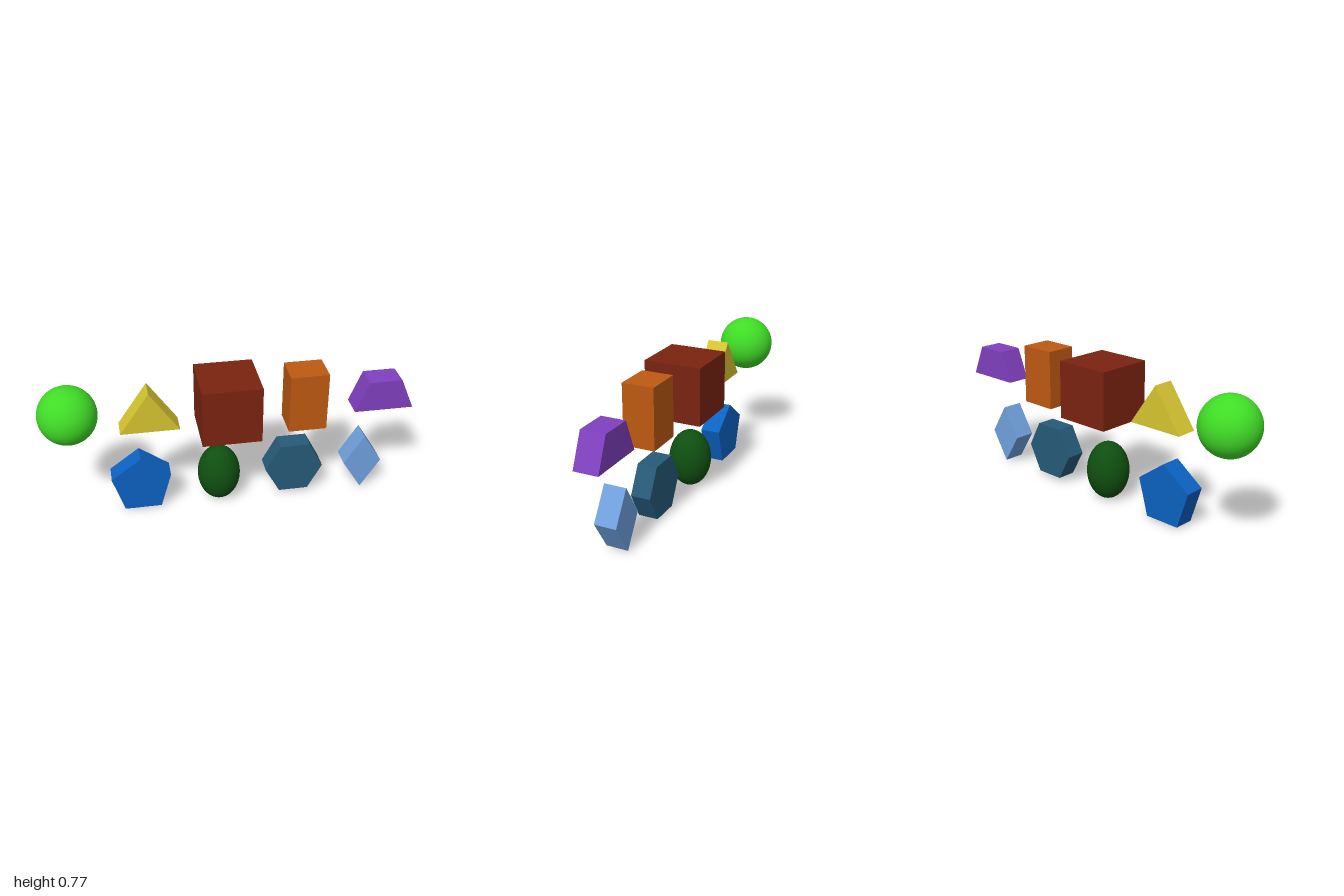
import * as THREE from 'three';

const material = (name, color) => {
  const m = new THREE.MeshStandardMaterial({ color });
  m.name = name;
  return m;
};

export function createModel() {
  const model = new THREE.Group();
  model.name = 'shapeSet';

  const add = (name, geometry, mat, x, y, z) => {
    const mesh = new THREE.Mesh(geometry, mat);
    mesh.name = name;
    mesh.position.set(x, y, z);
    model.add(mesh);
    return mesh;
  };

  // Straight prism with its outline in the xy plane, running from zBack to zFront
  const prism = (name, points, mat, zBack, zFront) => {
    const shape = new THREE.Shape(points.map(([x, y]) => new THREE.Vector2(x, y)));
    const geometry = new THREE.ExtrudeGeometry(shape, { depth: zFront - zBack, bevelEnabled: false });
    add(name, geometry, mat, 0, 0, zBack);
  };

  // Upper row
  add('sphere', new THREE.SphereGeometry(0.156, 48, 32), material('brightGreen', 0x40dc26), -0.844, 0.612, -0.007);
  prism('triangularPrism', [[-0.585, 0.505], [-0.27, 0.505], [-0.427, 0.733]],
    material('yellow', 0xd6c530), -0.06, 0.06);
  add('cube', new THREE.BoxGeometry(0.317, 0.317, 0.318), material('darkRed', 0x7b2310), -0.008, 0.608, 0.004);
  add('uprightBlock', new THREE.BoxGeometry(0.206, 0.328, 0.172), material('orange', 0xbe5912), 0.413, 0.607, 0.004);
  prism('trapezoidPrism', [[0.677, 0.515], [1, 0.515], [0.925, 0.688], [0.747, 0.688]],
    material('purple', 0x8040bf), -0.062, 0.07);

  // Lower row
  prism('pentagonPrism', [[-0.588, 0.012], [-0.388, 0.012], [-0.329, 0.214], [-0.489, 0.332], [-0.65, 0.214]],
    material('blue', 0x0b62c2), -0.056, 0.056);
  const egg = add('ellipsoid', new THREE.SphereGeometry(1, 48, 32), material('darkGreen', 0x0f4f10), -0.057, 0.162, -0.002);
  egg.scale.set(0.117, 0.162, 0.116);
  prism('hexagonPrism', [[0.278, 0.027], [0.441, 0.027], [0.519, 0.174], [0.441, 0.321], [0.278, 0.321], [0.198, 0.174]],
    material('slateBlue', 0x265a78), -0.054, 0.054);
  prism('rhombusPrism', [[0.749, 0.007], [0.855, 0.176], [0.749, 0.345], [0.642, 0.176]],
    material('lightBlue', 0x6fa0dd), -0.054, 0.066);

  return model;
}
